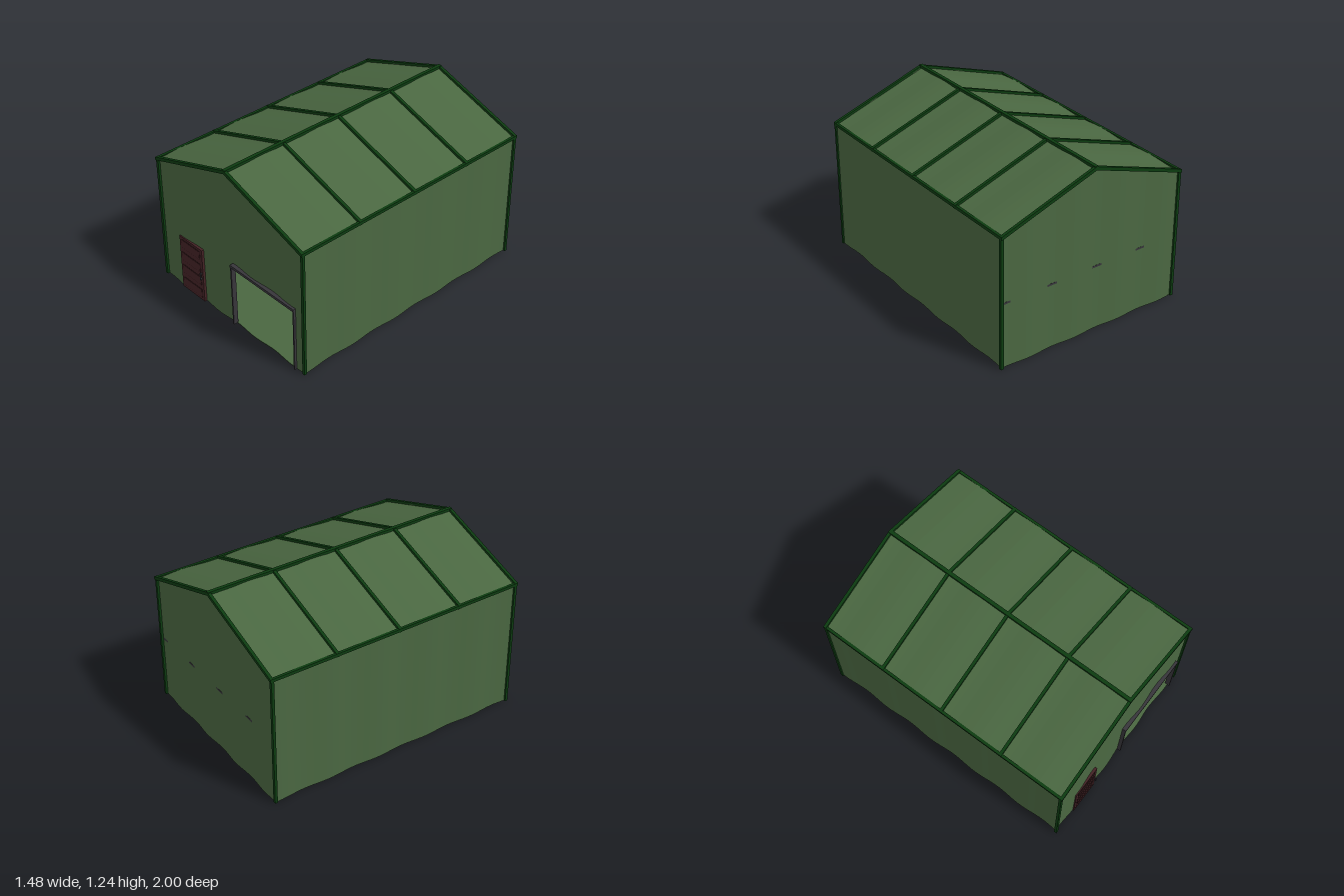
import * as THREE from 'three';

const material = (name, color, side = THREE.FrontSide) => {
  const m = new THREE.MeshStandardMaterial({ color, side });
  m.name = name;
  return m;
};

const EAVE = 0.972, RIDGE = 1.222, HALF_X = 0.725, HALF_Z = 0.975;
const PITCH = Math.atan2(RIDGE - EAVE, 0.735);
const SLOPE = Math.hypot(RIDGE - EAVE, 0.735);

export function createModel() {
  const green = material('sheet green', 0x4a6741, THREE.DoubleSide);
  const trim = material('trim green', 0x0c3b10);
  const maroon = material('door maroon', 0x432225);
  const darkMaroon = material('door groove', 0x2b1416);
  const grey = material('frame grey', 0x37353a);

  const model = new THREE.Group();
  const shell = new THREE.Group();
  shell.name = 'building';
  shell.position.z = -0.007;
  model.add(shell);

  const add = (name, geometry, mat) => {
    const mesh = new THREE.Mesh(geometry, mat);
    mesh.name = name;
    shell.add(mesh);
    return mesh;
  };
  // Box given by its minimum and maximum corners
  const box = (name, mat, [x0, y0, z0], [x1, y1, z1]) => {
    const mesh = add(name, new THREE.BoxGeometry(x1 - x0, y1 - y0, z1 - z0), mat);
    mesh.position.set((x0 + x1) / 2, (y0 + y1) / 2, (z0 + z1) / 2);
    return mesh;
  };

  // Gently corrugated sheet made of flat upright strips, facing local +z
  const wave = (u, period) => -0.006 * Math.cos((2 * Math.PI * (u - 0.05)) / period);
  const sheet = (name, half, depth, period, top, bottom = () => 0, breaks = []) => {
    const us = [0, ...breaks];
    const steps = Math.round((2 * half * 8) / period);
    for (let i = 0; i <= steps; i++) us.push(-half + (2 * half * i) / steps);
    us.sort((a, b) => a - b);
    const points = [];
    for (let i = 0; i + 1 < us.length; i++) {
      const a = us[i], b = us[i + 1];
      if (b - a < 1e-5) continue;
      const low = bottom((a + b) / 2);
      const za = depth + wave(a, period), zb = depth + wave(b, period);
      const p = [[a, low, za], [b, low, zb], [b, top(b), zb], [a, top(a), za]];
      for (const k of [0, 1, 2, 0, 2, 3]) points.push(...p[k]);
    }
    const g = new THREE.BufferGeometry();
    g.setAttribute('position', new THREE.Float32BufferAttribute(points, 3));
    g.computeVertexNormals();
    return add(name, g, green);
  };

  // Walls, with the large opening in the front
  const gable = (u) => RIDGE - Math.abs(u) * Math.tan(PITCH);
  const flat = () => EAVE;
  const opening = (u) => (u > 0.03 && u < 0.65 ? 0.49 : 0);
  sheet('frontWall', HALF_X, HALF_Z, 0.37, gable, opening, [0.03, 0.65]);
  sheet('backWall', HALF_X, HALF_Z, 0.37, gable).rotation.y = Math.PI;
  for (const s of [-1, 1]) {
    const side = s > 0 ? 'left' : 'right';
    sheet(side + 'Wall', HALF_Z, HALF_X, 0.4, flat).rotation.y = (s * Math.PI) / 2;

    // Roof slope
    const roof = sheet(side + 'Roof', 0.98, 0, 0.49, () => SLOPE);
    roof.position.set(s * 0.735, EAVE, 0);
    roof.rotation.set(PITCH - Math.PI / 2, (s * Math.PI) / 2, 0, 'YXZ');

    // Eave trim and corner posts
    box(side + 'EaveTrim', trim, [s * 0.73 - 0.01, 0.962, -0.99], [s * 0.73 + 0.01, 0.984, 0.99]);
    for (const e of [-1, 1]) {
      box('cornerPost', trim,
        [s * 0.729 - 0.011, 0, e * 0.976 - 0.01], [s * 0.729 + 0.011, 0.975, e * 0.976 + 0.01]);
    }
  }

  // Floor slab with an outline that follows the wall waves
  const outline = [];
  for (let i = 0; i < 4; i++) {
    const long = i % 2 === 1;
    const half = long ? HALF_Z : HALF_X, depth = long ? HALF_X : HALF_Z;
    const period = long ? 0.4 : 0.37;
    const steps = Math.round((2 * half * 8) / period);
    for (let k = 0; k < steps; k++) {
      const u = -half + (2 * half * k) / steps;
      const p = new THREE.Vector3(u, 0, depth + wave(u, period));
      p.applyAxisAngle(new THREE.Vector3(0, 1, 0), (i * Math.PI) / 2);
      outline.push(new THREE.Vector2(p.x, -p.z));
    }
  }
  const slab = new THREE.ExtrudeGeometry(new THREE.Shape(outline), { depth: 0.006, bevelEnabled: false });
  slab.rotateX(-Math.PI / 2);
  add('floor', slab, green);

  // Rafter trims across the roof
  const chevron = new THREE.Shape([
    [-0.74, 0.96], [0, 1.21], [0.74, 0.96], [0.74, 0.985], [0, 1.236], [-0.74, 0.985],
  ].map(([x, y]) => new THREE.Vector2(x, y)));
  const rafter = new THREE.ExtrudeGeometry(chevron, { depth: 0.022, bevelEnabled: false });
  for (const z of [-0.981, -0.49, 0, 0.49, 0.981]) {
    add('rafterTrim', rafter, trim).position.z = z - 0.011;
  }
  box('ridgeTrim', trim, [-0.013, 1.218, -0.99], [0.013, 1.238, 0.99]);

  // Panelled entrance door with handle
  box('door', maroon, [-0.535, 0, 0.965], [-0.292, 0.44, 0.989]);
  for (let i = 0; i < 4; i++) {
    const y = 0.022 + i * 0.109;
    box('doorGroove', darkMaroon, [-0.513, y, 0.987], [-0.315, y + 0.072, 0.9905]);
    box('doorPanel', maroon, [-0.509, y + 0.004, 0.987], [-0.319, y + 0.068, 0.992]);
  }
  box('doorHandle', grey, [-0.308, 0.19, 0.997], [-0.3, 0.25, 1.006]);
  for (const y of [0.195, 0.237]) box('handleMount', grey, [-0.307, y, 0.986], [-0.301, y + 0.008, 0.999]);

  // Frame around the large opening
  box('openingJamb', grey, [0.024, 0, 0.96], [0.035, 0.49, 0.996]);
  box('openingJamb', grey, [0.645, 0, 0.96], [0.656, 0.49, 0.996]);
  box('openingLintel', grey, [0.024, 0.485, 0.96], [0.656, 0.505, 0.999]);

  // Upper deck inside, carried on two posts
  box('upperDeck', grey, [-0.71, 0.476, -0.9705], [0.71, 0.491, 0]);
  for (const s of [-1, 1]) {
    box('deckPost', grey, [s * 0.427 - 0.02, 0, -0.04], [s * 0.427 + 0.02, 0.478, 0]);
  }
  return model;
}
